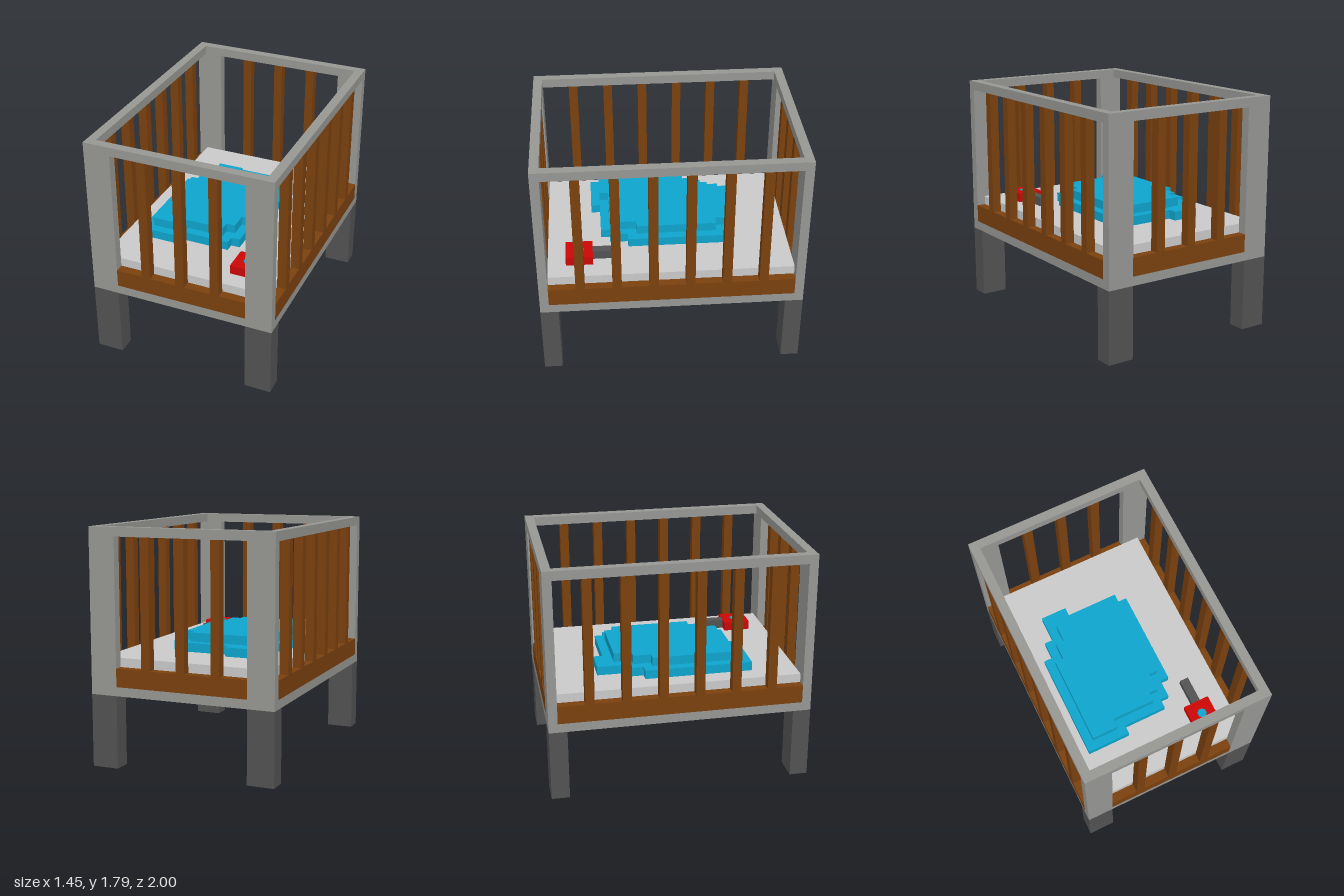
import * as THREE from 'three';

// One grid step: the cot is 29 steps long
const U = 2 / 29;

const mat = (name, color) => {
  const m = new THREE.MeshStandardMaterial({ color });
  m.name = name;
  return m;
};

export function createModel() {
  const frameGrey = mat('frameGrey', 0x969693);
  const legGrey = mat('legGrey', 0x525252);
  const wood = mat('wood', 0x7a400e);
  const sheet = mat('sheet', 0xc9c9c9);
  const blue = mat('blue', 0x0ea4cc);
  const red = mat('red', 0xcc0606);

  const cot = new THREE.Group();
  cot.name = 'cot';

  // Box given by its centre in x and z, its bottom and top, all in grid steps
  const box = (name, material, x, z, w, d, y0, y1) => {
    const mesh = new THREE.Mesh(new THREE.BoxGeometry(w * U, (y1 - y0) * U, d * U), material);
    mesh.position.set(x * U, ((y0 + y1) / 2) * U, z * U);
    mesh.name = name;
    cot.add(mesh);
    return mesh;
  };

  // Slab one step thick with a stepped outline of [x, z] corners
  const slab = (name, material, corners, y0) => {
    const shape = new THREE.Shape(corners.map(([x, z]) => new THREE.Vector2(x * U, -z * U)));
    const geometry = new THREE.ExtrudeGeometry(shape, { depth: U, bevelEnabled: false });
    geometry.rotateX(-Math.PI / 2);
    const mesh = new THREE.Mesh(geometry, material);
    mesh.position.y = y0 * U;
    mesh.name = name;
    cot.add(mesh);
  };

  // Base and mattress
  box('base', frameGrey, 0, 0, 21, 29, 8, 9);
  box('mattress', sheet, 0, 0, 19, 27, 9, 12);

  // Legs and corner posts
  for (const sx of [-1, 1]) {
    for (const sz of [-1, 1]) {
      box('leg', legGrey, sx * 9, sz * 13.5, 3, 2, 0, 8);
      box('cornerPost', frameGrey, sx * 9, sz * 14, 3, 1, 9, 25);
    }
  }

  for (const s of [-1, 1]) {
    // Ends: top rail, lower board and three slats
    box('endRail', frameGrey, 0, s * 14, 21, 1, 25, 26);
    box('endBoard', wood, 0, s * 14, 15, 1, 9, 11);
    for (const x of [-4, 0, 4]) box('endSlat', wood, x, s * 14, 1, 1, 11, 25);

    // Sides: top rail, lower board and six slats
    box('sideRail', frameGrey, s * 10, 0, 1, 27, 25, 26);
    box('sideBoard', wood, s * 10, 0, 1, 27, 9, 11);
    for (let z = -10; z <= 10; z += 4) box('sideSlat', wood, s * 10, z, 1, 1, 11, 25);
  }

  // Crumpled blanket in two stepped layers
  slab('blanketLower', blue, [
    [-5.5, -8.5], [-2.5, -8.5], [-2.5, -7.5], [3.5, -7.5], [3.5, -6.5], [4.5, -6.5],
    [4.5, 4.5], [3.5, 4.5], [3.5, 6.5], [2.5, 6.5], [2.5, 7.5], [-2.5, 7.5],
    [-2.5, 8.5], [-7.5, 8.5], [-7.5, -3.5], [-6.5, -3.5], [-6.5, -5.5], [-5.5, -5.5],
  ], 12);
  slab('blanketUpper', blue, [
    [-4.5, -6.5], [2.5, -6.5], [2.5, -5.5], [3.5, -5.5], [3.5, 3.5], [2.5, 3.5],
    [2.5, 5.5], [1.5, 5.5], [1.5, 6.5], [-3.5, 6.5], [-3.5, 7.5], [-6.5, 7.5],
    [-6.5, -2.5], [-5.5, -2.5], [-5.5, -4.5], [-4.5, -4.5],
  ], 13);

  // Rattle: square head with a dot, and a handle
  box('rattleHead', red, 6, 10, 3, 3, 12, 13);
  box('rattleHandle', legGrey, 6, 7, 1, 3, 12, 13);
  const dotGeometry = new THREE.CylinderGeometry(0.037, 0.037, 0.004, 8);
  dotGeometry.rotateY(Math.PI / 8);
  const dot = new THREE.Mesh(dotGeometry, blue);
  dot.position.set(6 * U, 13 * U + 0.001, 10 * U);
  dot.name = 'rattleDot';
  cot.add(dot);

  return cot;
}
